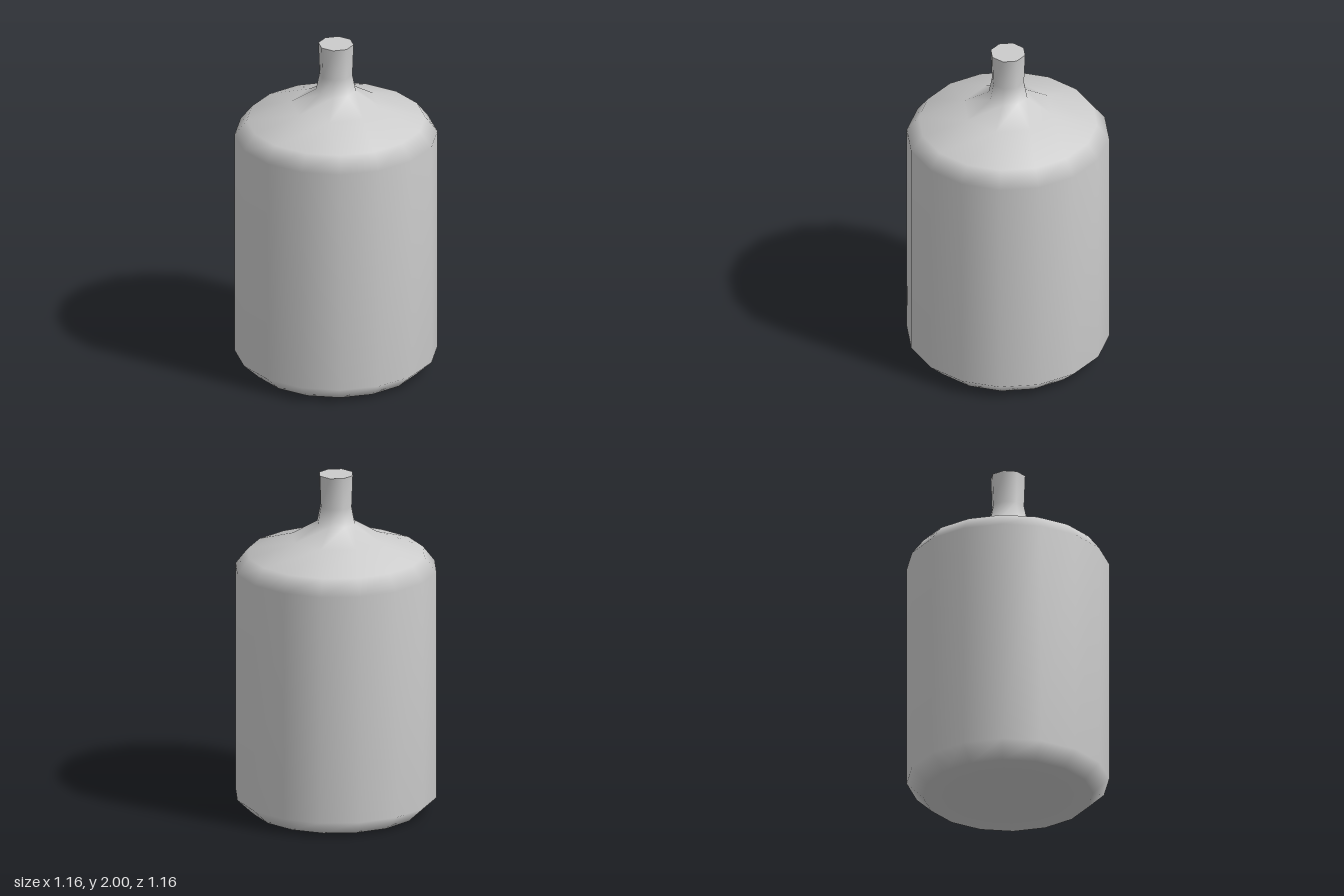
import * as THREE from 'three';

// Rings from bottom to top: [radius, height, sides, start angle]
const TURN = Math.PI / 16;
const RINGS = [
  [0, 0, 1, 0], // centre of the base
  [0.485, 0, 16, 0],
  [0.58, 0.09, 16, 0],
  [0.58, 1.44, 16, 0],
  [0.51, 1.53, 16, 0],
  [0.262, 1.62, 8, TURN], // shoulder drops to eight sides
  [0.115, 1.71, 8, TURN],
  [0.095, 1.81, 8, TURN],
  [0.102, 2, 8, TURN],
];

// Skin the rings; rings with fewer sides share vertices between neighbours
function skinRings(rings, steps) {
  const positions = [], index = [], starts = [];
  for (const [r, y, sides, turn] of rings) {
    starts.push(positions.length / 3);
    for (let i = 0; i < sides; i++) {
      const a = turn + (i / sides) * Math.PI * 2;
      positions.push(r * Math.cos(a), y, r * Math.sin(a));
    }
  }
  const vertex = (k, i) => starts[k] + Math.floor(((i % steps) * rings[k][2]) / steps);
  const triangle = (a, b, c) => {
    if (a !== b && b !== c && a !== c) index.push(a, b, c);
  };
  for (let k = 0; k < rings.length - 1; k++) {
    for (let i = 0; i < steps; i++) {
      const a = vertex(k, i), b = vertex(k, i + 1);
      const c = vertex(k + 1, i), d = vertex(k + 1, i + 1);
      triangle(b, a, c);
      triangle(b, c, d);
    }
  }
  const geometry = new THREE.BufferGeometry();
  geometry.setAttribute('position', new THREE.Float32BufferAttribute(positions, 3));
  geometry.setIndex(index);
  geometry.computeVertexNormals();
  return geometry;
}

export function createModel() {
  const group = new THREE.Group();
  group.name = 'bottle';
  const material = new THREE.MeshStandardMaterial({ color: 0xcccccc });

  // Base, body, shoulder and neck as one smooth skin
  const body = new THREE.Mesh(skinRings(RINGS, 16), material);
  body.name = 'bottleBody';
  group.add(body);

  // Flat top closing the neck with a sharp edge
  const [r, y, sides, turn] = RINGS[RINGS.length - 1];
  const lid = new THREE.Mesh(new THREE.CircleGeometry(r, sides, -turn).rotateX(-Math.PI / 2), material);
  lid.name = 'neckTop';
  lid.position.y = y;
  group.add(lid);

  return group;
}
